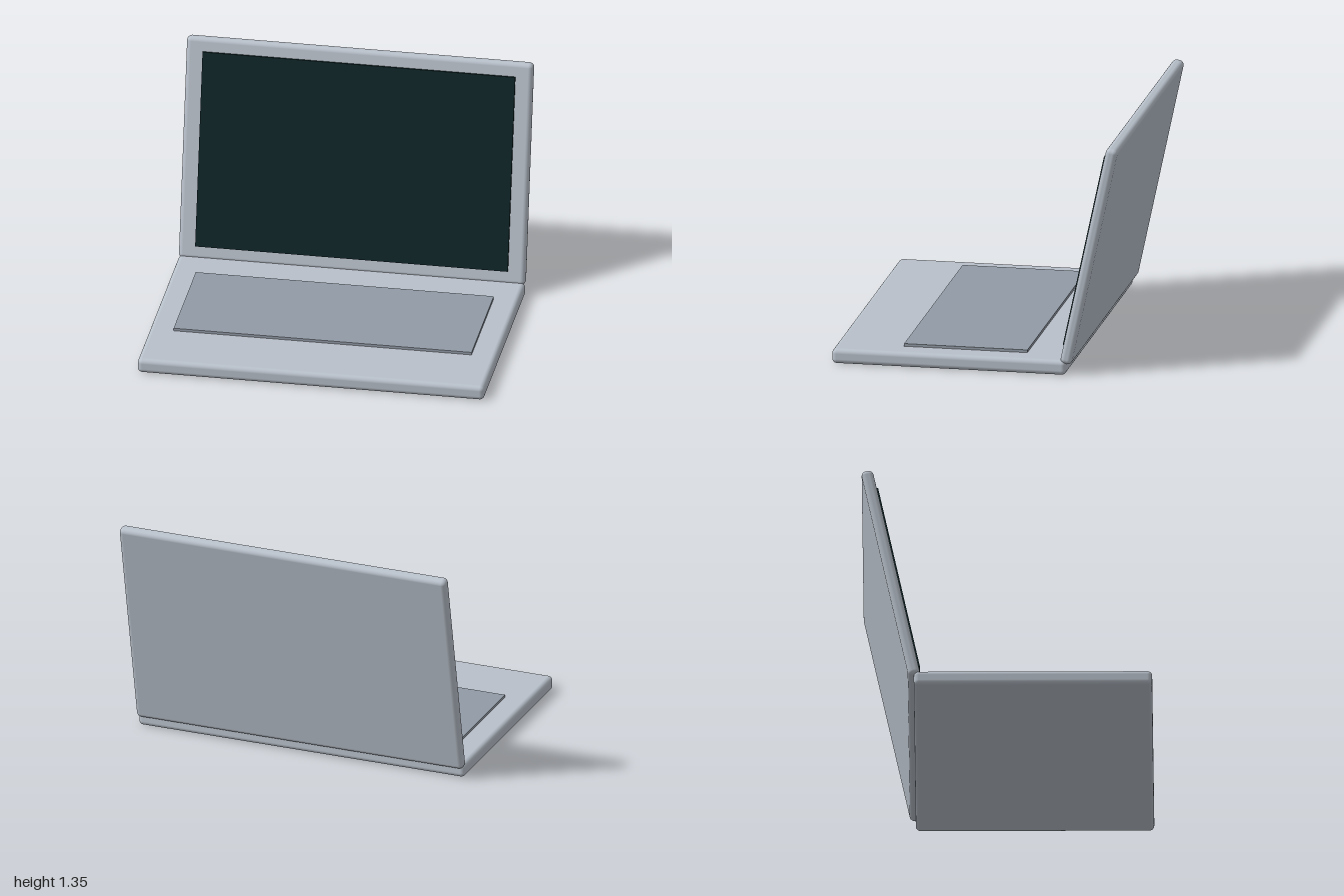
import * as THREE from 'three';
import { RoundedBoxGeometry } from 'three/addons/geometries/RoundedBoxGeometry.js';

export function createModel() {
  const model = new THREE.Group();
  model.name = 'laptop';

  const material = (name, color) => {
    const m = new THREE.MeshStandardMaterial({ color });
    m.name = name;
    return m;
  };
  const silver = material('silver casing', 0xb8c0ca);
  const grey = material('grey keys', 0x929ba6);
  const dark = material('dark glass', 0x0e2426);

  const add = (parent, name, geometry, mat, x, y, z) => {
    const mesh = new THREE.Mesh(geometry, mat);
    mesh.name = name;
    mesh.position.set(x, y, z);
    parent.add(mesh);
    return mesh;
  };

  // Lower body with the raised keyboard plate
  add(model, 'base', new RoundedBoxGeometry(2, 0.086, 1.355, 4, 0.027), silver, 0, 0.043, 0.1475);
  add(model, 'keyboard', new THREE.BoxGeometry(1.72, 0.016, 0.714), grey, 0, 0.094, 0.075);

  // Lid tilted back, carrying the screen on its front face
  const lid = new THREE.Group();
  lid.name = 'lid';
  lid.position.set(0, 0.705, -0.6615);
  lid.rotation.x = -THREE.MathUtils.degToRad(12);
  model.add(lid);
  add(lid, 'lidShell', new RoundedBoxGeometry(2, 1.307, 0.068, 4, 0.027), silver, 0, 0, 0);
  add(lid, 'screen', new THREE.BoxGeometry(1.804, 1.145, 0.014), dark, 0, 0, 0.0415);

  return model;
}
